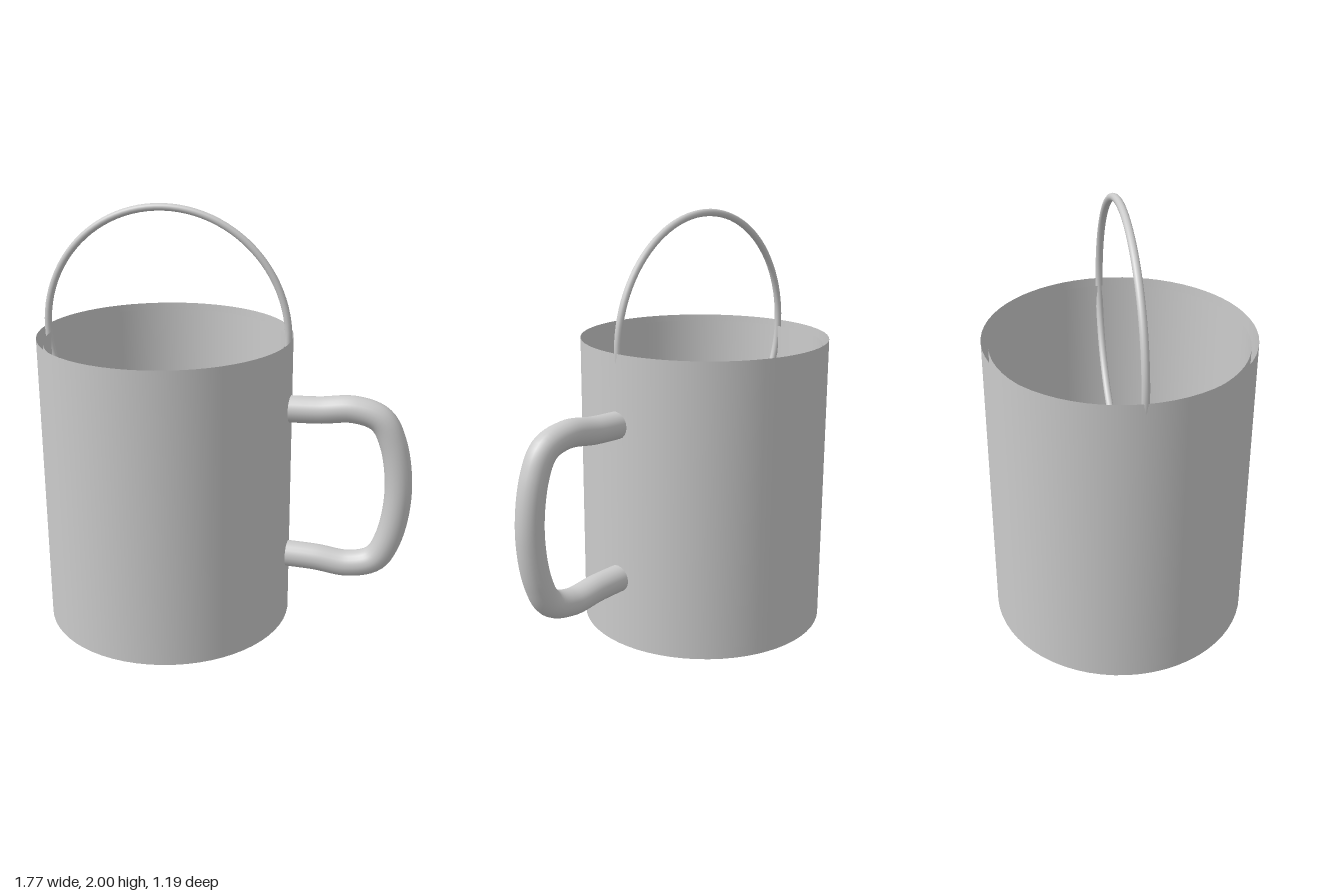
import * as THREE from 'three';

const CX = -0.29; // axis of the cup
const RADIUS = 0.593;
const HEIGHT = 1.405;

export function createModel() {
  const model = new THREE.Group();
  const material = new THREE.MeshStandardMaterial({ color: 0xcccccc, side: THREE.DoubleSide });

  const add = (name, geometry, x, y) => {
    const mesh = new THREE.Mesh(geometry, material);
    mesh.name = name;
    mesh.position.set(x, y, 0);
    model.add(mesh);
    return mesh;
  };

  // Outer wall, open at the top
  add('outerWall', new THREE.CylinderGeometry(RADIUS, RADIUS, HEIGHT, 64, 1, true), CX, HEIGHT / 2);

  // Thin liner standing just inside the wall, a little below the rim
  add('innerWall', new THREE.CylinderGeometry(0.563, 0.563, 1.378, 64, 1, true), CX, 0.689);

  // Flat bottom
  add('base', new THREE.CircleGeometry(RADIUS, 64), CX, 0).rotation.x = Math.PI / 2;

  // Wire ring: upper half is the bail, lower half hangs inside the cup
  add('bailRing', new THREE.TorusGeometry(0.578, 0.017, 12, 96), CX, HEIGHT);

  // Side handle, symmetric about its middle height
  const upper = [[0.285, 0.371], [0.44, 0.376], [0.6, 0.391], [0.72, 0.352], [0.782, 0.24]];
  const lower = upper.map(([x, y]) => [x, -y]).reverse();
  const path = new THREE.CatmullRomCurve3(
    [...upper, [0.817, 0], ...lower].map(([x, y]) => new THREE.Vector3(x, y, 0))
  );
  add('sideHandle', new THREE.TubeGeometry(path, 80, 0.063, 20), 0, 0.706);

  return model;
}
